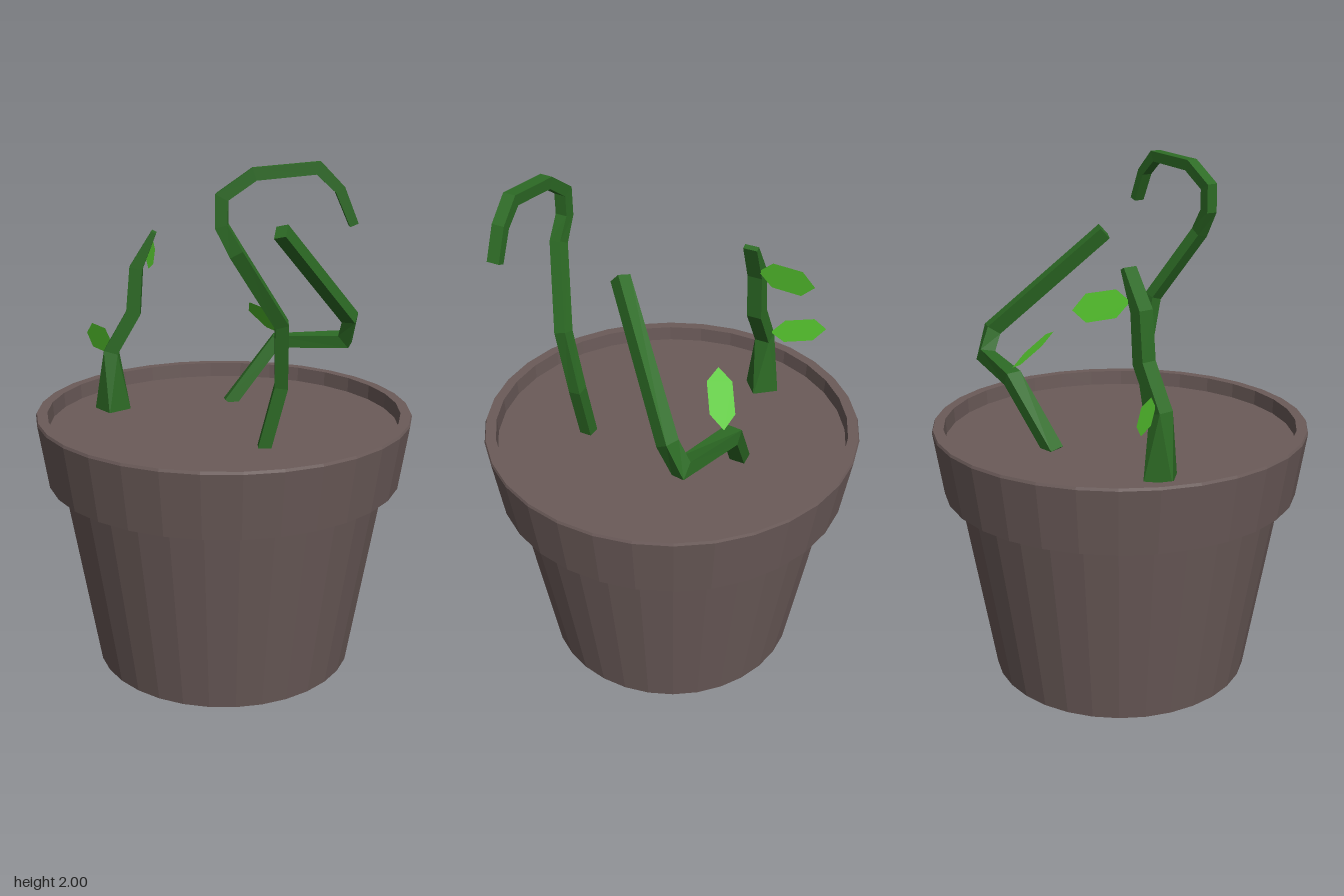
import * as THREE from 'three';

const V = (x, y, z) => new THREE.Vector3(x, y, z);

function material(name, color, side = THREE.FrontSide) {
  const m = new THREE.MeshStandardMaterial({ color, side });
  m.name = name;
  return m;
}

// Faceted copy of a geometry
function faceted(geometry) {
  const g = geometry.index ? geometry.toNonIndexed() : geometry;
  g.computeVertexNormals();
  return g;
}

// Square-section stem through points [x, y, z, sideWidth, bendWidth, twist]
function stemGeometry(points) {
  const centres = points.map(p => V(p[0], p[1], p[2]));
  const last = centres.length - 1;
  const side = V(0, 0, 1);
  const corners = [[1, 1], [-1, 1], [-1, -1], [1, -1]];
  const pos = [], index = [];
  centres.forEach((c, i) => {
    const before = c.clone().sub(centres[Math.max(i - 1, 0)]).normalize();
    const after = centres[Math.min(i + 1, last)].clone().sub(c).normalize();
    const t = before.clone().add(after).normalize();
    const miter = i > 0 && i < last ? Math.min(1 / t.dot(after), 1.3) : 1;
    side.addScaledVector(t, -side.dot(t)).normalize();
    const [, , , w, h = w, twist = 0] = points[i];
    const s = side.clone().applyAxisAngle(t, twist);
    const n = t.clone().cross(s);
    for (const [a, b] of corners) {
      const v = c.clone().addScaledVector(s, a * w / 2).addScaledVector(n, b * h * miter / 2);
      pos.push(v.x, v.y, v.z);
    }
  });
  for (let i = 0; i < last; i++) {
    for (let j = 0; j < 4; j++) {
      const a = i * 4 + j, b = i * 4 + (j + 1) % 4;
      index.push(a, b, b + 4, a, b + 4, a + 4);
    }
  }
  const e = last * 4;
  index.push(0, 2, 1, 0, 3, 2, e, e + 1, e + 2, e, e + 2, e + 3);
  const g = new THREE.BufferGeometry();
  g.setAttribute('position', new THREE.Float32BufferAttribute(pos, 3));
  g.setIndex(index);
  return faceted(g);
}

// Flat six-sided leaf running from base to tip and facing the normal
function leafGeometry(base, tip, normal, width) {
  const along = tip.clone().sub(base);
  const length = along.length(), w = width / 2;
  const shape = new THREE.Shape([
    [0, 0], [0.25 * length, -w], [0.77 * length, -w],
    [length, 0], [0.77 * length, w], [0.25 * length, w],
  ].map(([x, y]) => new THREE.Vector2(x, y)));
  along.normalize();
  const across = normal.clone().cross(along).normalize();
  const face = along.clone().cross(across);
  const m = new THREE.Matrix4().makeBasis(along, across, face).setPosition(base);
  return new THREE.ShapeGeometry(shape).applyMatrix4(m);
}

export function createModel() {
  const model = new THREE.Group();
  model.name = 'pottedVines';
  const clay = material('brownClay', 0x6b5b59);
  const stemGreen = material('stemGreen', 0x2d6b25);
  const leafGreen = material('leafGreen', 0x55c42e, THREE.DoubleSide);

  const add = (name, geometry, mat) => {
    const mesh = new THREE.Mesh(geometry, mat);
    mesh.name = name;
    model.add(mesh);
  };

  // Pot with overhanging rim, and the soil disc inside it
  const sides = 32, turn = Math.PI / sides;
  const profile = [[0, 0], [0.512, 0], [0.637, 0.76], [0.692, 0.76], [0.729, 1.01],
    [0.725, 1.02], [0.685, 1.02], [0.682, 0.96]].map(([x, y]) => new THREE.Vector2(x, y));
  add('pot', faceted(new THREE.LatheGeometry(profile, sides, turn)), clay);
  const soil = new THREE.CircleGeometry(0.683, sides, turn);
  soil.rotateX(-Math.PI / 2).translate(0, 0.96, 0);
  add('soil', soil, clay);

  // Short upright stem, flared at the soil
  add('shortStem', stemGeometry([
    [-0.455, 0.95, -0.185, 0.105, 0.105, 0.7],
    [-0.455, 1.2, -0.185, 0.06, 0.055],
    [-0.362, 1.36, -0.185, 0.06, 0.055],
    [-0.347, 1.54, -0.185, 0.06, 0.05],
    [-0.275, 1.68, -0.185, 0.056, 0.02],
  ]), stemGreen);

  // Tall stem with a hooked top
  add('hookedStem', stemGeometry([
    [0.15, 0.95, 0.29, 0.048],
    [0.21, 1.19, 0.293, 0.048],
    [0.207, 1.43, 0.342, 0.048],
    [0.047, 1.70, 0.445, 0.048],
    [-0.003, 1.79, 0.445, 0.048, 0.042],
    [-0.002, 1.885, 0.445, 0.048, 0.042],
    [0.105, 1.96, 0.445, 0.048, 0.042],
    [0.315, 1.98, 0.445, 0.048, 0.04],
    [0.387, 1.91, 0.445, 0.048, 0.034],
    [0.436, 1.795, 0.445, 0.048, 0.03],
  ]), stemGreen);

  // Stem that creeps sideways and doubles back
  add('bentStem', stemGeometry([
    [0.02, 0.95, -0.305, 0.06, 0.05],
    [0.215, 1.205, -0.355, 0.06, 0.05],
    [0.495, 1.225, -0.295, 0.06, 0.052],
    [0.508, 1.325, -0.25, 0.06, 0.052],
    [0.21, 1.72, 0.09, 0.055, 0.05],
  ]), stemGreen);

  // Leaves
  add('upperLeaf', leafGeometry(V(-0.31, 1.57, -0.205), V(-0.29, 1.57, -0.44), V(1, 0, 0.08), 0.1), leafGreen);
  add('lowerLeaf', leafGeometry(V(-0.455, 1.227, -0.21), V(-0.58, 1.227, -0.4), V(0.83, 0, -0.55), 0.1), leafGreen);
  add('bentStemLeaf', leafGeometry(V(0.243, 1.235, -0.335), V(0.1, 1.39, -0.24), V(0.37, 0.71, -0.6), 0.1), leafGreen);

  return model;
}
